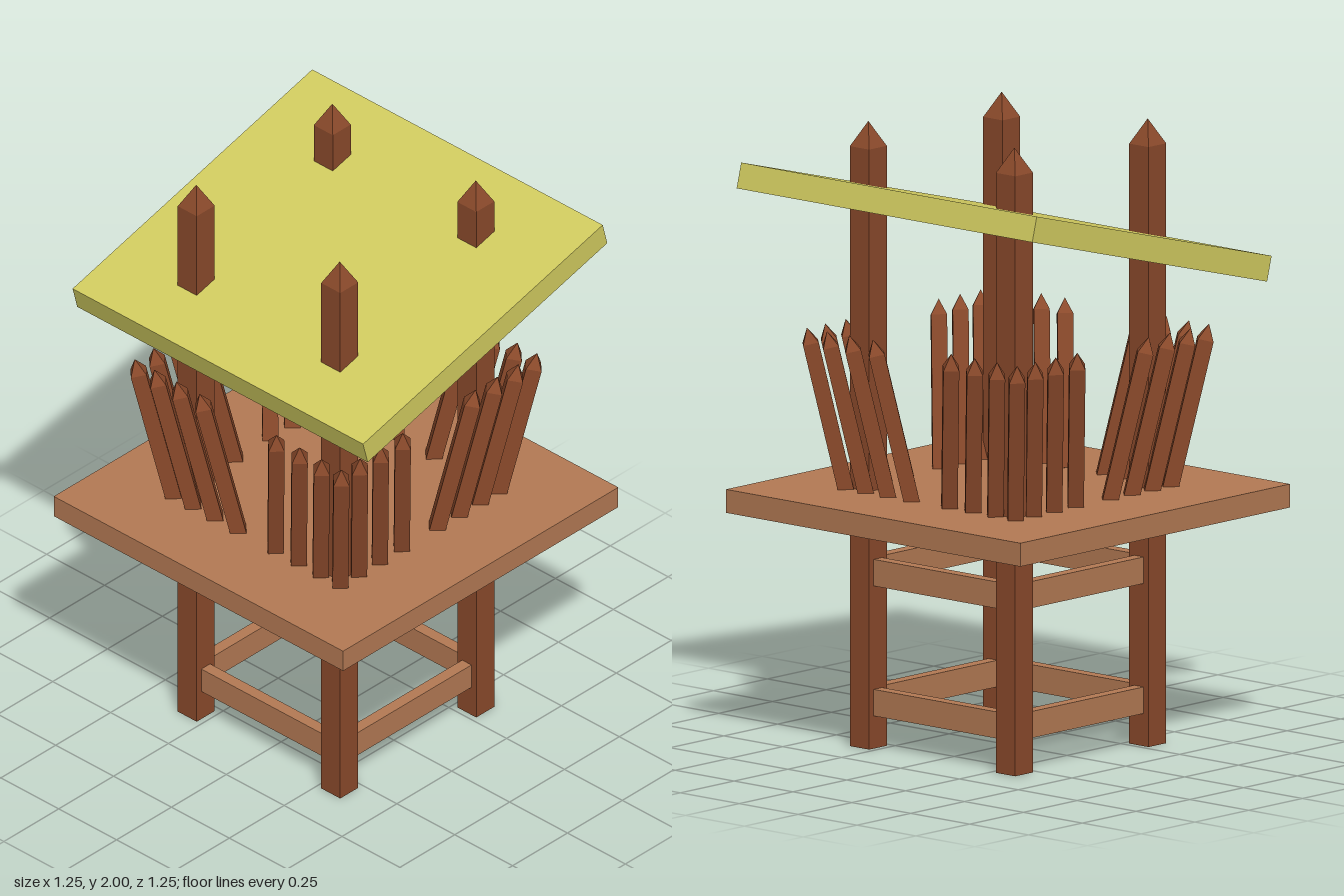
import * as THREE from 'three';

const material = (color) => new THREE.MeshStandardMaterial({ color, flatShading: true });

// Square bar standing on its base, with a pyramid tip
function pointedBar(width, shoulder, height) {
  const r = width / Math.SQRT2;
  const profile = [[0, 0], [r, 0], [r, shoulder], [0, height]].map(([x, y]) => new THREE.Vector2(x, y));
  return new THREE.LatheGeometry(profile, 4).rotateY(Math.PI / 4);
}

export function createModel() {
  const model = new THREE.Group();
  const darkWood = material(0x8b4a2b);
  const lightWood = material(0xb47a54);
  const straw = material(0xd2cc60);

  function add(name, geometry, mat, x, y, z, parent = model) {
    const mesh = new THREE.Mesh(geometry, mat);
    mesh.name = name;
    mesh.position.set(x, y, z);
    parent.add(mesh);
    return mesh;
  }

  // Deck and sloping roof
  add('platform', new THREE.BoxGeometry(1.25, 0.075, 1.254), lightWood, 0, 0.788, 0);
  add('roof', new THREE.BoxGeometry(1.255, 0.082, 1.13), straw, 0, 1.675, -0.018).rotation.x = 0.26;

  // Four full-height corner posts
  const reach = 0.31;
  const postGeometry = pointedBar(0.082, 1.92, 2);
  for (const sx of [-1, 1]) {
    for (const sz of [-1, 1]) add('post', postGeometry, darkWood, sx * reach, 0, sz * reach);
  }

  // Two levels of rails between the posts
  const railX = new THREE.BoxGeometry(0.54, 0.085, 0.04);
  const railZ = new THREE.BoxGeometry(0.04, 0.085, 0.54);
  for (const y of [0.147, 0.563]) {
    for (const s of [-1, 1]) {
      add('rail', railX, lightWood, 0, y, s * reach);
      add('rail', railZ, lightWood, s * reach, y, 0);
    }
  }

  // L-shaped rows of stakes round each corner, leaning outward on the diagonal
  const stakeGeometry = pointedBar(0.05, 0.485, 0.535);
  const steps = [0.08, 0.18, 0.275];
  const corner = 0.36;
  const spots = [...steps.map((s) => [s, corner]), [corner, corner], ...steps.map((s) => [corner, s])];
  for (const sx of [-1, 1]) {
    for (const sz of [-1, 1]) {
      const fence = new THREE.Group();
      fence.name = 'cornerFence';
      for (const [x, z] of spots) {
        const stake = add('stake', stakeGeometry, darkWood, sx * x, 0.82, sz * z, fence);
        stake.rotation.order = 'YXZ';
        stake.rotation.y = Math.atan2(sx, sz);
        stake.rotation.x = 0.23;
      }
      model.add(fence);
    }
  }
  return model;
}
